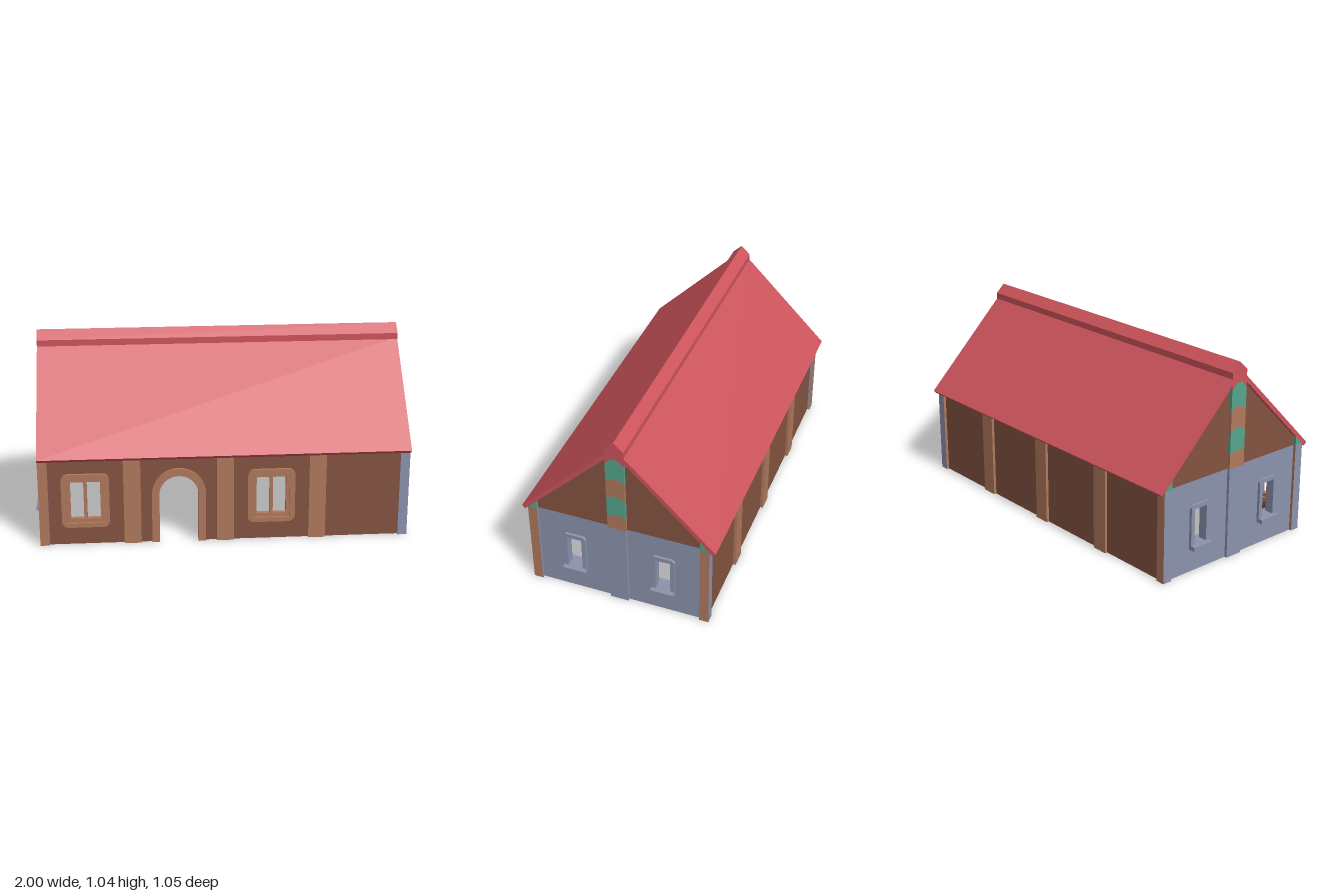
import * as THREE from 'three';

const material = (name, color) => {
  const m = new THREE.MeshStandardMaterial({ color });
  m.name = name;
  return m;
};

export function createModel() {
  const house = new THREE.Group();
  house.name = 'house';
  const red = material('roof red', 0xcd545c);
  const tan = material('timber tan', 0xb0795c);
  const brown = material('wall brown', 0x845441);
  const blue = material('gable blue grey', 0x8b92ac);
  const green = material('panel green', 0x55a48c);

  function add(name, geometry, mat) {
    const mesh = new THREE.Mesh(geometry, mat);
    mesh.name = name;
    house.add(mesh);
    return mesh;
  }
  const box = (name, mat, x0, x1, y0, y1, z0, z1) => add(name,
    new THREE.BoxGeometry(x1 - x0, y1 - y0, z1 - z0)
      .translate((x0 + x1) / 2, (y0 + y1) / 2, (z0 + z1) / 2), mat);

  const polygon = (points) => new THREE.Shape(points.map((p) => new THREE.Vector2(...p)));
  const rect = (x0, x1, y0, y1) => polygon([[x0, y0], [x1, y0], [x1, y1], [x0, y1]]);
  // Extrusion of an x-y shape between two depths
  const slab = (shape, z0, z1) => new THREE.ExtrudeGeometry(shape,
    { depth: z1 - z0, bevelEnabled: false, curveSegments: 10 }).translate(0, 0, z0);
  // Extrusion of a z-y shape between two x positions
  const prism = (shape, x0, x1) => slab(shape, x0, x1).rotateY(Math.PI / 2);

  function rounded(cx, cy, w, h, r) {
    const s = new THREE.Shape();
    const x = w / 2 - r, y = h / 2 - r;
    s.absarc(cx + x, cy + y, r, 0, Math.PI / 2);
    s.absarc(cx - x, cy + y, r, Math.PI / 2, Math.PI);
    s.absarc(cx - x, cy - y, r, Math.PI, Math.PI * 1.5);
    s.absarc(cx + x, cy - y, r, Math.PI * 1.5, Math.PI * 2);
    s.closePath();
    return s;
  }
  const bay = 0.488;
  const doorX = -bay / 2;
  const windowXs = [-1.5 * bay, bay / 2];
  const winY = 0.246;

  // Front wall, with the doorway cut through its bottom edge
  const front = new THREE.Shape();
  front.moveTo(-0.95, 0);
  front.lineTo(doorX - 0.12, 0);
  front.lineTo(doorX - 0.12, 0.27);
  front.absarc(doorX, 0.27, 0.12, Math.PI, 0, true);
  front.lineTo(doorX + 0.12, 0);
  front.lineTo(0.95, 0);
  front.lineTo(0.95, 0.49);
  front.lineTo(-0.95, 0.49);
  front.closePath();
  for (const x of windowXs) front.holes.push(rounded(x, winY, 0.22, 0.27, 0.02));
  add('frontWall', slab(front, 0.455, 0.475), brown);
  box('backWall', brown, -0.95, 0.95, 0, 0.49, -0.475, -0.455);

  // Arched door surround
  const arch = new THREE.Shape();
  arch.moveTo(doorX + 0.142, 0);
  arch.lineTo(doorX + 0.142, 0.27);
  arch.absarc(doorX, 0.27, 0.142, 0, Math.PI);
  arch.lineTo(doorX - 0.142, 0);
  arch.lineTo(doorX - 0.102, 0);
  arch.lineTo(doorX - 0.102, 0.27);
  arch.absarc(doorX, 0.27, 0.102, Math.PI, 0, true);
  arch.lineTo(doorX + 0.102, 0);
  arch.closePath();
  add('doorArch', slab(arch, 0.44, 0.49), tan);

  // Front windows: rounded surround, thinner sash and one mullion
  for (const x of windowXs) {
    const surround = rounded(x, winY, 0.25, 0.297, 0.035);
    surround.holes.push(rect(x - 0.097, x + 0.097, winY - 0.123, winY + 0.123));
    add('windowSurround', slab(surround, 0.44, 0.49), tan);
    const sash = rect(x - 0.1, x + 0.1, winY - 0.126, winY + 0.126);
    sash.holes.push(rect(x - 0.078, x + 0.078, winY - 0.102, winY + 0.102));
    add('windowSash', slab(sash, 0.452, 0.478), tan);
    box('windowMullion', tan, x - 0.009, x + 0.009, winY - 0.102, winY + 0.102, 0.456, 0.474);
  }

  // Wall piers and the ceiling beams that join them
  for (const x of [-bay, 0, bay]) {
    for (const z of [-0.465, 0.465])
      box('pier', tan, x - 0.045, x + 0.045, 0, 0.49, z - 0.025, z + 0.025);
    box('ceilingBeam', tan, x - 0.045, x + 0.045, 0.465, 0.49, -0.455, 0.455);
  }

  // Corner posts, with different colours on their side and long faces
  for (const sx of [-1, 1]) for (const sz of [-1, 1]) {
    const [side, long] = sx > 0 ? [tan, blue] : [blue, tan];
    box('cornerPost', [side, side, long, long, long, long],
      sx * 0.95 - 0.025, sx * 0.95 + 0.025, 0, 0.49, sz * 0.465 - 0.025, sz * 0.465 + 0.025);
    // Small panel between post and eave
    add('eavePanel', prism(polygon([[sz * 0.44, 0.49], [sz * 0.49, 0.49], [sz * 0.44, 0.54]]),
      sx * 0.95 - 0.025, sx * 0.95 + 0.025), green);
  }

  // Gable ends
  for (const sx of [-1, 1]) {
    const at = (depth) => [sx * 0.95 - depth, sx * 0.95 + depth];
    const wall = rect(-0.465, 0.465, 0, 0.49);
    for (const sz of [-1, 1]) {
      const z = sz * 0.243;
      wall.holes.push(rect(z - 0.042, z + 0.042, 0.145, 0.344));
      const frame = polygon([[z - 0.063, 0.13], [z + 0.063, 0.13], [z + 0.063, 0.352],
        [z + 0.05, 0.366], [z - 0.05, 0.366], [z - 0.063, 0.352]]);
      frame.holes.push(rect(z - 0.04, z + 0.04, 0.147, 0.343));
      add('gableWindowFrame', prism(frame, ...at(0.025)), blue);
      box('gableWindowSill', blue, ...at(0.05), 0.125, 0.148, z - 0.063, z + 0.063);
    }
    add('gableWall', prism(wall, ...at(0.01)), blue);
    box('gablePier', blue, ...at(0.025), 0, 0.49, -0.05, 0.05);

    // Upper pier in alternating bands with peaked tops: [edge y, centre y]
    const levels = [[0.49, 0.49], [0.57, 0.582], [0.682, 0.703], [0.795, 0.82], [0.907, 0.94]];
    for (let i = 0; i < 4; i++) {
      const [e0, c0] = levels[i], [e1, c1] = levels[i + 1];
      add('gablePierBand', prism(polygon([[-0.05, e0], [0, c0], [0.05, e0],
        [0.05, e1], [0.018, c1], [-0.018, c1], [-0.05, e1]]), ...at(0.025)), i % 2 ? green : tan);
    }
  }

  // Attic body, whose underside is the ceiling
  add('attic', prism(polygon([[-0.455, 0.49], [0.455, 0.49], [0.455, 0.522],
    [0, 0.975], [-0.455, 0.522]]), -0.96, 0.96), brown);

  // Roof slopes and ridge cap
  for (const s of [-1, 1])
    add('roofSlope', prism(polygon([[s * 0.523, 0.49], [s * 0.507, 0.473],
      [s * 0.04, 0.94], [s * 0.04, 0.973]]), -0.975, 0.975), red);
  add('ridgeCap', prism(polygon([[-0.05, 0.907], [-0.018, 0.94], [0.018, 0.94], [0.05, 0.907],
    [0.05, 0.997], [0, 1.045], [-0.05, 0.997]]), -0.975, 0.975), red);

  return house;
}
